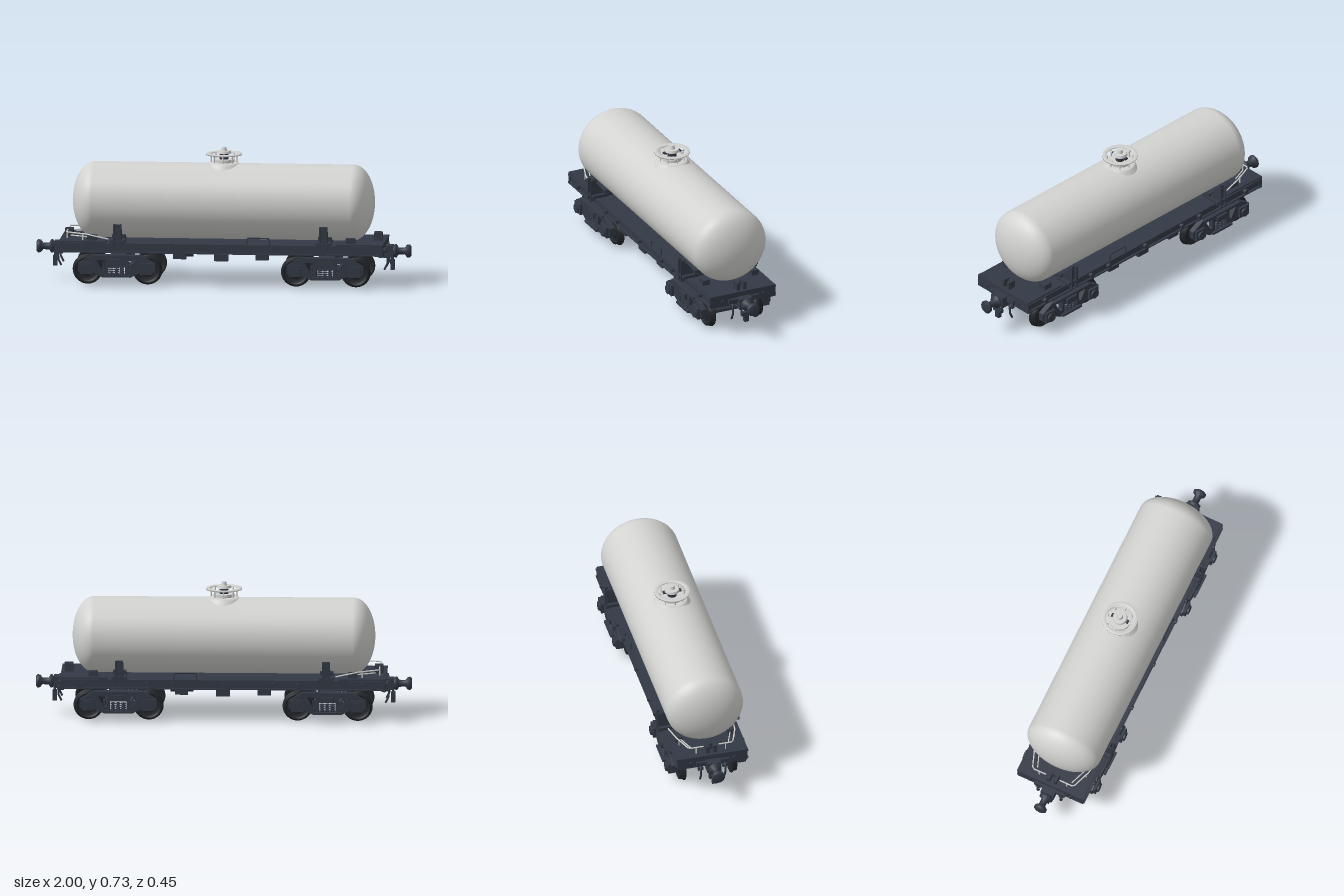
import * as THREE from 'three';

const mat = (name, color, side = THREE.FrontSide) => {
  const m = new THREE.MeshStandardMaterial({ color, side });
  m.name = name;
  return m;
};

export function createModel() {
  const light = mat('tank grey', 0xd2d2d0);
  const dark = mat('frame slate', 0x333945);
  const black = mat('wheel black', 0x22252a);
  const root = new THREE.Group();
  root.name = 'tankWagon';

  const add = (parent, name, geo, material, x = 0, y = 0, z = 0) => {
    const m = new THREE.Mesh(geo, material);
    m.name = name;
    m.position.set(x, y, z);
    parent.add(m);
    return m;
  };
  const group = (name, x = 0, turn = 0) => {
    const g = new THREE.Group();
    g.name = name;
    g.position.x = x;
    g.rotation.y = turn;
    root.add(g);
    return g;
  };
  const box = (p, name, m, w, h, d, x, y, z) => add(p, name, new THREE.BoxGeometry(w, h, d), m, x, y, z);
  // cylinder along the chosen axis
  const cyl = (p, name, m, axis, r, len, x, y, z, r2 = r, seg = 20) => {
    const g = new THREE.CylinderGeometry(r2, r, len, seg);
    if (axis === 'x') g.rotateZ(-Math.PI / 2);
    if (axis === 'z') g.rotateX(Math.PI / 2);
    return add(p, name, g, m, x, y, z);
  };
  const lathe = (pts, seg = 32) => new THREE.LatheGeometry(pts.map(([r, y]) => new THREE.Vector2(r, y)), seg);
  const tube = (p, name, m, pts, r) => {
    const path = new THREE.CurvePath();
    const v = pts.map(a => new THREE.Vector3(...a));
    for (let i = 1; i < v.length; i++) path.add(new THREE.LineCurve3(v[i - 1], v[i]));
    return add(p, name, new THREE.TubeGeometry(path, (v.length - 1) * 6, r, 6), m);
  };
  const polygon = pts => new THREE.Shape(pts.map(a => new THREE.Vector2(...a)));
  const slab = (shape, depth) => {
    const g = new THREE.ExtrudeGeometry(shape, { depth, bevelEnabled: false });
    return g.translate(0, 0, -depth / 2);
  };

  // Tank barrel with dished ends
  const profile = [];
  for (let i = 0; i <= 16; i++) {
    const a = (i / 16) * Math.PI / 2;
    profile.push([Math.sin(a), -0.69 - 0.115 * Math.cos(a)]);
  }
  const half = profile.slice().reverse().map(([r, y]) => [r, -y]);
  const barrel = lathe([...profile, ...half], 64);
  barrel.rotateZ(-Math.PI / 2).scale(1, 0.202, 0.21);
  add(root, 'tank', barrel, light, 0, 0.436, 0);

  // Filling dome, walkway ring and hatch
  const dome = group('fillingDome');
  add(dome, 'domeSkirt', lathe([[0.11, 0.595], [0.095, 0.622], [0.083, 0.634], [0.078, 0.645], [0, 0.645]]), light);
  cyl(dome, 'domeCollar', light, 'y', 0.055, 0.018, 0, 0.652, 0, 0.055, 32);
  cyl(dome, 'domeNeck', dark, 'y', 0.024, 0.035, 0, 0.675, 0);
  cyl(dome, 'hatchLid', light, 'y', 0.04, 0.014, 0, 0.699, 0, 0.036, 28);
  cyl(dome, 'hatchKnob', light, 'y', 0.017, 0.022, 0, 0.714, 0, 0.012);
  box(dome, 'hatchBar', dark, 0.02, 0.008, 0.1, 0, 0.687, 0);
  add(dome, 'walkwayRing', lathe([[0.074, 0.684], [0.095, 0.684], [0.095, 0.692], [0.074, 0.692], [0.074, 0.684]], 40), light);
  for (let i = 0; i < 8; i++) {
    const a = i * Math.PI / 4;
    cyl(dome, 'walkwayPost', light, 'y', 0.0035, 0.065, 0.068 * Math.cos(a), 0.655, 0.068 * Math.sin(a), 0.0035, 8);
    if (i % 2 === 0) {
      const b = box(dome, 'walkwayBracket', light, 0.03, 0.005, 0.01, 0.072 * Math.cos(a), 0.682, 0.072 * Math.sin(a));
      b.rotation.y = -a;
    }
  }

  // Underframe: floor, sills and cross members
  const frame = group('underframe');
  box(frame, 'floor', dark, 1.7, 0.016, 0.36, 0, 0.21, 0);
  box(frame, 'centreSill', dark, 1.7, 0.045, 0.07, 0, 0.187, 0);
  for (const s of [-1, 1]) {
    box(frame, 'sideSillWeb', dark, 1.72, 0.052, 0.012, 0, 0.202, s * 0.18);
    for (const y of [0.18, 0.225]) box(frame, 'sideSillFlange', dark, 1.72, 0.007, 0.022, 0, y, s * 0.187);
    for (const x of [-0.74, -0.4, -0.27, 0, 0.27, 0.4, 0.74]) {
      cyl(frame, 'sillFitting', dark, 'z', 0.013, 0.024, x, 0.203, s * 0.193, 0.013, 12);
    }
    for (const x of [-0.22, 0.22]) box(frame, 'stepBracket', dark, 0.07, 0.03, 0.025, x, 0.161, s * 0.17);
    box(frame, 'valveBox', dark, 0.075, 0.035, 0.03, 0, 0.155, s * 0.165);
    tube(frame, 'sideRail', dark, [[0.14, 0.225, s * 0.19], [0.14, 0.265, s * 0.19], [0.26, 0.265, s * 0.19], [0.26, 0.225, s * 0.19]], 0.004);
    tube(frame, 'brakeRod', dark, [[-0.32, 0.19, s * 0.08], [0.32, 0.19, s * 0.08]], 0.006);
  }
  for (const x of [-0.3, -0.15, 0, 0.15, 0.3]) box(frame, 'crossMember', dark, 0.02, 0.03, 0.36, x, 0.192, 0);
  cyl(frame, 'airReservoir', dark, 'x', 0.025, 0.12, 0.22, 0.17, -0.09);
  cyl(frame, 'brakeCylinder', dark, 'x', 0.022, 0.09, -0.2, 0.17, 0.09);

  // Tank saddles with upright stops and gussets
  for (const x of [-0.55, 0.55]) {
    const saddle = group('saddle', x);
    box(saddle, 'saddleBeam', dark, 0.07, 0.035, 0.3, 0, 0.25, 0);
    for (const s of [-1, 1]) {
      box(saddle, 'saddleEnd', dark, 0.08, 0.016, 0.09, 0, 0.24, s * 0.175);
      box(saddle, 'uprightPlate', dark, 0.04, 0.12, 0.008, 0, 0.272, s * 0.204);
      for (const u of [-0.017, 0.017]) {
        box(saddle, 'uprightRib', dark, 0.008, 0.122, 0.022, u, 0.272, s * 0.213);
        const pts = [[0.13, 0.235], [0.205, 0.235], [0.205, 0.325], [0.195, 0.32]].map(([z, y]) => [s * z, y]);
        add(saddle, 'gusset', slab(polygon(pts), 0.008).rotateY(-Math.PI / 2), dark, u, 0, 0);
      }
    }
  }

  // Wagon ends: headstock, coupler and fittings
  for (const s of [1, -1]) {
    const end = group('wagonEnd', 0, s > 0 ? 0 : Math.PI);
    box(end, 'headstock', dark, 0.02, 0.068, 0.384, 0.854, 0.203, 0);
    box(end, 'endDeck', dark, 0.25, 0.01, 0.38, 0.74, 0.232, 0);
    box(end, 'couplerPlate', dark, 0.014, 0.025, 0.18, 0.87, 0.193, 0);
    box(end, 'couplerPocket', dark, 0.05, 0.06, 0.075, 0.88, 0.18, 0);
    const c = lathe([[0.022, 0.88], [0.024, 0.905], [0.036, 0.912], [0.036, 0.922], [0.019, 0.932], [0.018, 0.965],
      [0.034, 0.978], [0.036, 0.992], [0.026, 1], [0, 1]], 20).rotateZ(-Math.PI / 2);
    add(end, 'coupler', c, dark, 0, 0.18, 0);
    box(end, 'couplerHanger', dark, 0.02, 0.018, 0.058, 0.9, 0.122, 0);
    for (const z of [-0.026, 0.026]) box(end, 'hangerLink', dark, 0.012, 0.06, 0.007, 0.9, 0.145, z);
    box(end, 'chainBlock', dark, 0.022, 0.055, 0.026, 0.9, 0.105, 0);
    for (const z of [-0.013, 0.013]) box(end, 'deckStop', dark, 0.045, 0.045, 0.018, 0.825, 0.257, z * 1.5);
    box(end, 'deckStopBack', dark, 0.012, 0.038, 0.05, 0.808, 0.254, 0);
    for (const z of [-0.067, 0.067]) {
      tube(end, 'airHose', dark, [[0.865, 0.175, z], [0.88, 0.16, z], [0.878, 0.12, z], [0.862, 0.088, z]], 0.006);
      box(end, 'hoseBracket', dark, 0.018, 0.02, 0.028, 0.866, 0.162, z);
    }
    for (const z of [-0.12, 0.12]) {
      cyl(end, 'headstockBolt', dark, 'x', 0.011, 0.012, 0.866, 0.2, z, 0.011, 12);
      box(end, 'deckBracket', dark, 0.05, 0.03, 0.04, 0.69, 0.25, z * 1.2);
    }
  }

  // Light pipe rails on one end deck
  for (const s of [-1, 1]) {
    tube(root, 'endRail', light, [[-0.83, 0.275, 0.04 * s], [-0.83, 0.275, 0.12 * s], [-0.72, 0.27, 0.16 * s], [-0.6, 0.247, 0.175 * s]], 0.004);
    for (const [x, z] of [[-0.83, 0.08], [-0.74, 0.152]]) cyl(root, 'railPost', light, 'y', 0.004, 0.04, x, 0.255, s * z, 0.004, 8);
    tube(root, 'lowerRail', light, [[-0.81, 0.255, 0.1 * s], [-0.7, 0.252, 0.14 * s]], 0.0035);
  }

  // Bogies
  const frameShape = polygon([[-0.205, 0.12], [-0.205, 0.075], [-0.125, 0.07], [-0.075, 0.045], [0.075, 0.045],
    [0.125, 0.07], [0.205, 0.075], [0.205, 0.12], [0.13, 0.163], [-0.13, 0.163]]);
  for (const s of [-1, 1]) {
    frameShape.holes.push(new THREE.Path([[s * 0.11, 0.138], [s * 0.062, 0.138], [s * 0.062, 0.085], [s * 0.075, 0.08]]
      .map(a => new THREE.Vector2(...a))));
  }
  frameShape.holes.push(new THREE.Path([[-0.045, 0.06], [0.045, 0.06], [0.045, 0.11], [-0.045, 0.11]].map(a => new THREE.Vector2(...a))));
  const sideGeo = slab(frameShape, 0.03);
  const wheelGeo = lathe([[0, -0.012], [0.025, -0.014], [0.028, -0.006], [0.058, -0.004], [0.062, -0.015],
    [0.078, -0.015], [0.08, -0.011], [0.079, -0.006], [0.073, -0.003], [0.071, 0.016],
    [0.06, 0.016], [0.056, 0.006], [0.03, 0.008], [0.026, 0.018], [0, 0.018]], 32).rotateX(Math.PI / 2);
  for (const x of [-0.556, 0.556]) {
    const bogie = group('bogie', x);
    box(bogie, 'bolster', dark, 0.085, 0.04, 0.37, 0, 0.135, 0);
    cyl(bogie, 'centrePivot', dark, 'y', 0.045, 0.04, 0, 0.165, 0);
    for (const u of [-0.16, 0.16]) {
      cyl(bogie, 'axle', dark, 'z', 0.016, 0.4, u, 0.08, 0);
      box(bogie, 'brakeBeam', dark, 0.018, 0.025, 0.25, u * 0.42, 0.085, 0);
      for (const s of [-1, 1]) {
        const w = add(bogie, 'wheel', wheelGeo, black, u, 0.08, s * 0.14);
        if (s < 0) w.rotation.y = Math.PI;
        box(bogie, 'brakeShoe', dark, 0.014, 0.05, 0.025, u * 0.47, 0.085, s * 0.14);
        box(bogie, 'axleBox', dark, 0.066, 0.06, 0.045, u, 0.093, s * 0.19);
        cyl(bogie, 'axleCap', dark, 'z', 0.025, 0.016, u, 0.09, s * 0.214);
      }
    }
    for (const s of [-1, 1]) {
      add(bogie, 'sideFrame', sideGeo, dark, 0, 0, s * 0.183);
      box(bogie, 'topFlange', dark, 0.26, 0.01, 0.05, 0, 0.16, s * 0.185);
      box(bogie, 'springPlank', dark, 0.14, 0.012, 0.055, 0, 0.054, s * 0.185);
      box(bogie, 'bolsterEnd', dark, 0.07, 0.03, 0.03, 0, 0.127, s * 0.197);
      for (const u of [-0.028, 0, 0.028]) {
        for (const y of [0.066, 0.077, 0.088, 0.099]) {
          add(bogie, 'springCoil', new THREE.TorusGeometry(0.01, 0.004, 6, 12).rotateX(Math.PI / 2), dark, u, y, s * 0.19);
        }
      }
    }
  }
  return root;
}
